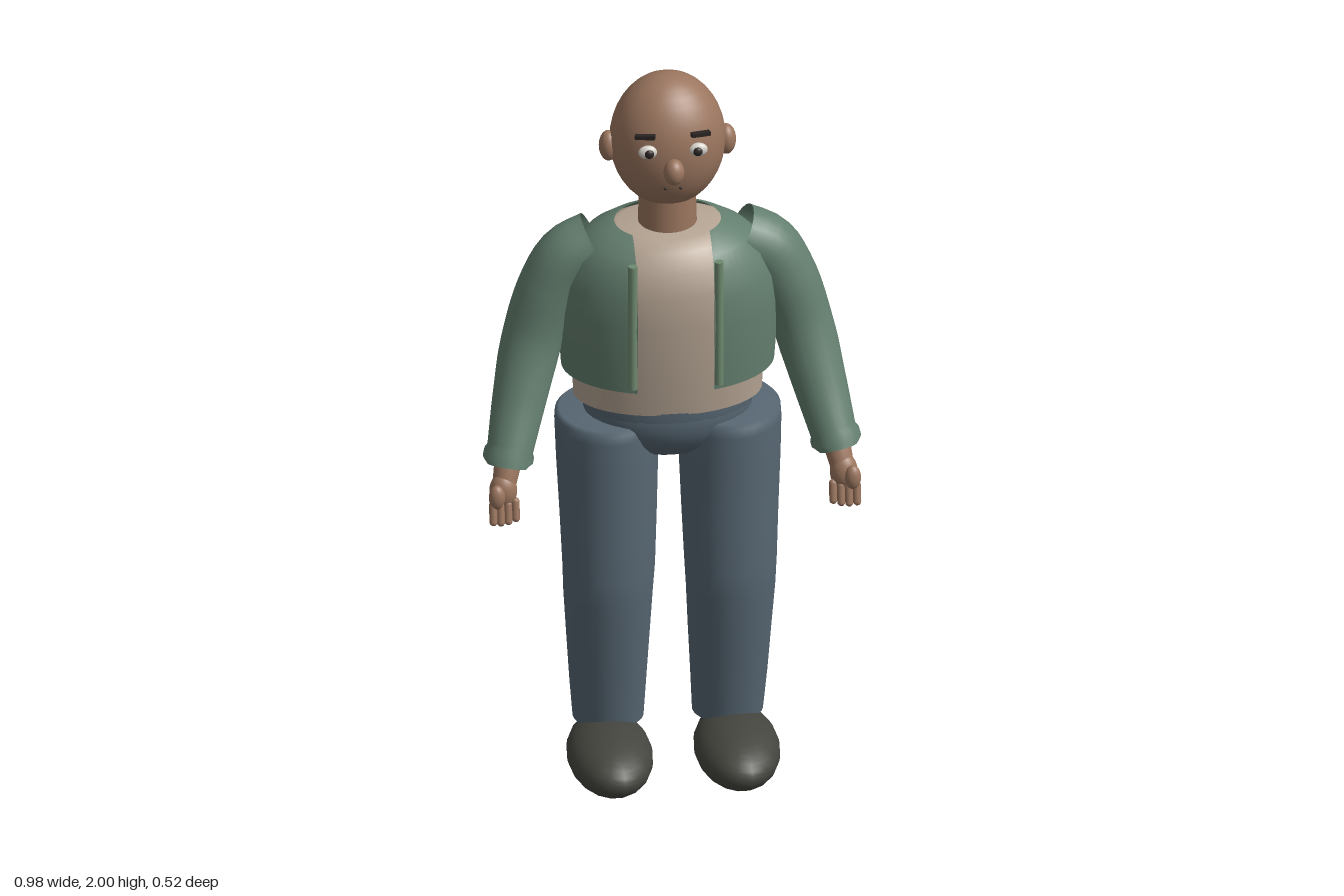
import * as THREE from 'three';

const CZ = -0.058; // depth of the body's centre line
const flat = (name, color, side = THREE.FrontSide) => {
  const m = new THREE.MeshStandardMaterial({ color, side });
  m.name = name;
  return m;
};

// Surface through horizontal elliptical rings [y, rx, rz, cx, cz].
// With gap > 0 the front stays open between x = -gap and x = +gap.
function loft(rings, gap = 0, n = 40) {
  const pos = [], idx = [];
  const cols = gap ? n + 1 : n;
  for (const [y, rx, rz, cx = 0, cz = CZ] of rings) {
    const start = gap ? Math.asin(gap / rx) : 0;
    for (let i = 0; i < cols; i++) {
      const a = start + (i / n) * (Math.PI * 2 - 2 * start);
      pos.push(cx + rx * Math.sin(a), y, cz + rz * Math.cos(a));
    }
  }
  for (let j = 0; j < rings.length - 1; j++) {
    for (let i = 0; i < n; i++) {
      const k = (i + 1) % cols;
      const a = j * cols + i, b = j * cols + k, c = a + cols, d = b + cols;
      idx.push(a, b, d, a, d, c);
    }
  }
  const g = new THREE.BufferGeometry();
  g.setAttribute('position', new THREE.Float32BufferAttribute(pos, 3));
  g.setIndex(idx);
  g.computeVertexNormals();
  return g;
}

// Tube along points, its radius blended through the list of radii
function taperedTube(points, radii, segments = 30) {
  const curve = new THREE.CatmullRomCurve3(points.map(p => new THREE.Vector3(...p)));
  const sides = 24;
  const g = new THREE.TubeGeometry(curve, segments, 1, sides);
  const p = g.attributes.position, v = new THREE.Vector3();
  for (let i = 0; i <= segments; i++) {
    const c = curve.getPointAt(i / segments);
    const f = (i / segments) * (radii.length - 1);
    const k = Math.min(Math.floor(f), radii.length - 2);
    const r = THREE.MathUtils.lerp(radii[k], radii[k + 1], f - k);
    for (let j = 0; j <= sides; j++) {
      const q = i * (sides + 1) + j;
      v.fromBufferAttribute(p, q).sub(c).multiplyScalar(r).add(c);
      p.setXYZ(q, v.x, v.y, v.z);
    }
  }
  return g;
}

export function createModel() {
  const skin = flat('skin', 0x9b765f);
  const jacketGreen = flat('jacketGreen', 0x647f6f, THREE.DoubleSide);
  const shirtCream = flat('shirtCream', 0xb5a493);
  const denim = flat('denim', 0x576773);
  const shoeDark = flat('shoeDark', 0x45453f);
  const eyeWhite = flat('eyeWhite', 0xd6d2ca);
  const dark = flat('dark', 0x2a2523);
  const zipGreen = flat('zipGreen', 0x6f8a70);

  const model = new THREE.Group();
  model.name = 'man';
  const add = (name, geo, mat, parent = model) => {
    const m = new THREE.Mesh(geo, mat);
    m.name = name;
    parent.add(m);
    return m;
  };
  const ball = (name, mat, [x, y, z], [rx, ry, rz], parent = model, seg = 32) => {
    const m = add(name, new THREE.SphereGeometry(1, seg, 20), mat, parent);
    m.position.set(x, y, z);
    m.scale.set(rx, ry, rz);
    return m;
  };

  // Head and neck
  ball('head', skin, [0, 1.815, -0.06], [0.15, 0.185, 0.136], model, 40);
  ball('nose', skin, [0, 1.79, 0.083], [0.027, 0.036, 0.029]);
  const neck = add('neck', new THREE.CylinderGeometry(0.073, 0.077, 0.16, 32), skin);
  neck.position.set(0, 1.62, -0.062);

  // Shirt
  add('shirt', loft([
    [1.08, 0.001, 0.001], [1.08, 0.245, 0.155], [1.08, 0.245, 0.155], [1.2, 0.25, 0.175],
    [1.35, 0.262, 0.189], [1.44, 0.255, 0.187], [1.5, 0.23, 0.172], [1.55, 0.18, 0.14],
    [1.572, 0.13, 0.105], [1.576, 0.001, 0.001],
  ]), shirtCream);

  // Open jacket with a turned-in hem
  add('jacket', loft([
    [1.165, 0.25, 0.172], [1.165, 0.276, 0.194], [1.165, 0.276, 0.194], [1.25, 0.282, 0.201],
    [1.35, 0.285, 0.205], [1.43, 0.279, 0.204], [1.5, 0.252, 0.19], [1.54, 0.212, 0.165],
    [1.565, 0.17, 0.135], [1.576, 0.138, 0.112],
  ], 0.1, 56), jacketGreen);

  // Pelvis and waistband
  ball('pelvis', denim, [0, 1.05, CZ], [0.22, 0.147, 0.156]);
  add('waistband', loft([
    [1.035, 0.215, 0.15], [1.06, 0.222, 0.156], [1.09, 0.222, 0.156],
  ]), denim);

  for (const [side, s] of [['left', 1], ['right', -1]]) {
    const part = (name) => {
      const g = new THREE.Group();
      g.name = side + name;
      model.add(g);
      return g;
    };

    // Face details and ear
    const face = part('Face');
    ball('ear', skin, [s * 0.153, 1.8, -0.062], [0.025, 0.042, 0.03], face);
    ball('eye', eyeWhite, [s * 0.065, 1.842, 0.063], [0.025, 0.019, 0.013], face);
    ball('pupil', dark, [s * 0.063, 1.842, 0.076], [0.012, 0.012, 0.007], face);
    const brow = add('brow', new THREE.BoxGeometry(0.052, 0.011, 0.014), dark, face);
    brow.position.set(s * 0.072, 1.884, 0.057);
    brow.rotation.set(0, s * 0.3, s * -0.08);
    ball('mouthCorner', dark, [s * 0.02, 1.73, 0.06], [0.004, 0.004, 0.004], face, 8);

    // Zip edge of the jacket
    const zip = add('zipEdge', new THREE.CylinderGeometry(0.012, 0.012, 0.36, 12), zipGreen);
    zip.position.set(s * 0.112, 1.363, 0.126);

    // Sleeve and flared cuff
    const arm = part('Arm');
    add('sleeve', taperedTube([
      [s * 0.185, 1.51, -0.068], [s * 0.255, 1.475, -0.068], [s * 0.305, 1.39, -0.068],
      [s * 0.35, 1.25, -0.062], [s * 0.388, 1.1, -0.02], [s * 0.425, 0.95, 0.042],
    ], [0.087, 0.084, 0.081, 0.077, 0.068, 0.058]), jacketGreen, arm);
    add('cuff', taperedTube([
      [s * 0.417, 0.982, 0.028], [s * 0.425, 0.955, 0.04], [s * 0.43, 0.932, 0.049],
    ], [0.057, 0.066, 0.066, 0.05], 9), jacketGreen, arm);

    // Hand
    const hand = part('Hand');
    add('wrist', taperedTube([
      [s * 0.42, 0.97, 0.035], [s * 0.432, 0.92, 0.055], [s * 0.44, 0.88, 0.068],
    ], [0.036, 0.034, 0.03], 6), skin, hand);
    ball('palm', skin, [s * 0.442, 0.875, 0.072], [0.036, 0.05, 0.033], hand);
    ball('thumb', skin, [s * 0.462, 0.873, 0.104], [0.021, 0.034, 0.019], hand);
    for (let i = 0; i < 4; i++) {
      const finger = add('finger', new THREE.CapsuleGeometry(0.0105, 0.045, 4, 10), skin, hand);
      finger.position.set(s * (0.412 + i * 0.02), 0.828 - (i % 3 ? 0.005 : 0), 0.093 + i * 0.005);
      finger.rotation.x = -0.25;
    }

    // Trouser leg, slightly bent at the knee
    add(side + 'Leg', loft([
      [0.13, 0.001, 0.001, s * 0.155, -0.055], [0.13, 0.092, 0.085, s * 0.155, -0.055],
      [0.13, 0.092, 0.085, s * 0.155, -0.055], [0.25, 0.1, 0.098, s * 0.157, -0.045],
      [0.4, 0.109, 0.11, s * 0.158, -0.034], [0.52, 0.116, 0.116, s * 0.159, -0.022],
      [0.6, 0.12, 0.117, s * 0.158, -0.016], [0.75, 0.126, 0.128, s * 0.158, -0.03],
      [0.9, 0.132, 0.142, s * 0.159, -0.044], [1.0, 0.134, 0.151, s * 0.16, -0.053],
      [1.025, 0.132, 0.149, s * 0.16, -0.055], [1.035, 0.122, 0.138, s * 0.16, -0.055],
      [1.037, 0.001, 0.001, s * 0.16, -0.055],
    ], 0, 32), denim);

    // Shoe
    ball(side + 'Shoe', shoeDark, [s * 0.165, 0.078, 0.067], [0.111, 0.078, 0.194], model, 18);
  }
  return model;
}
